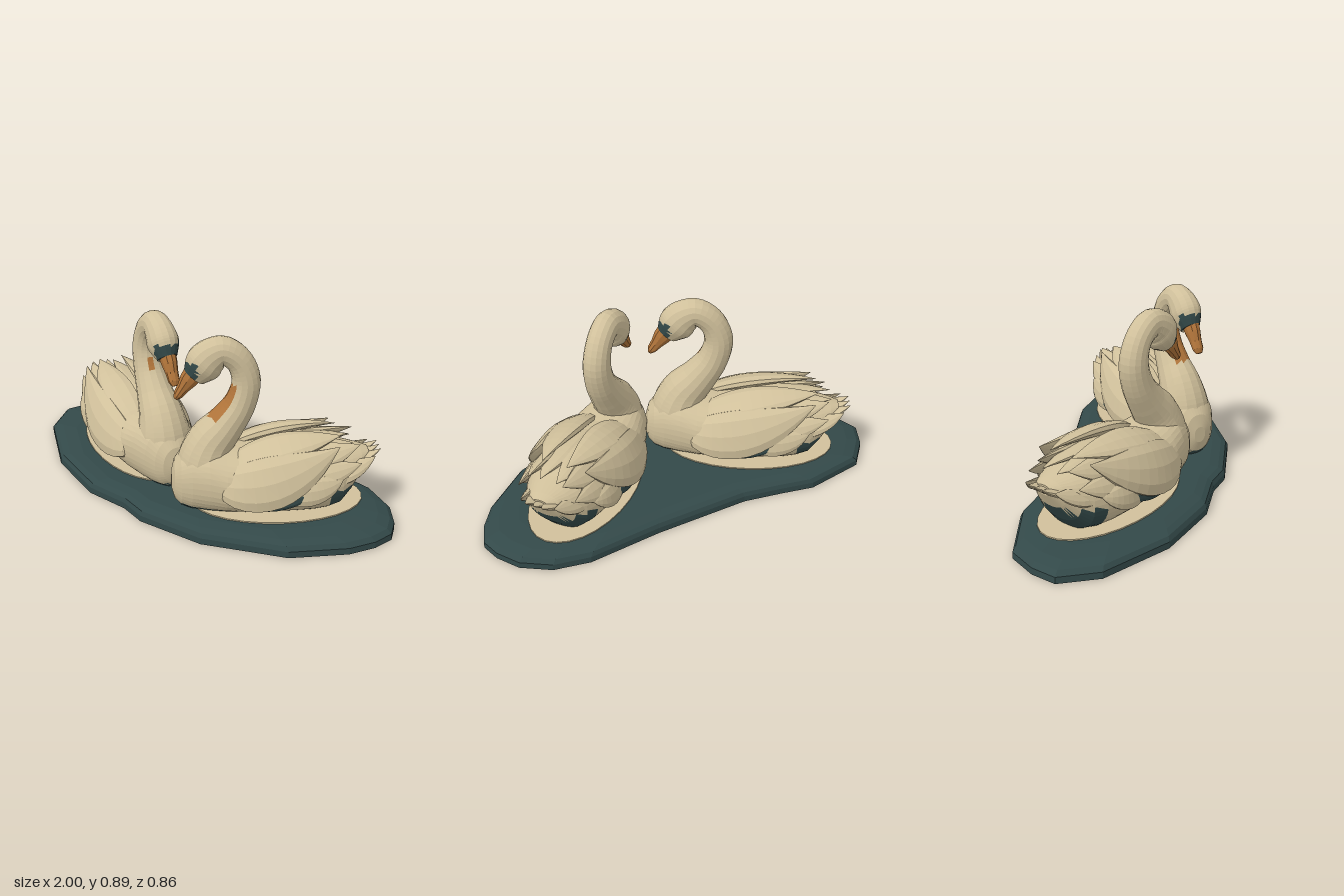
import * as THREE from 'three';

const V = (x, y, z) => new THREE.Vector3(x, y, z);
const mat = (name, color) => {
  const m = new THREE.MeshStandardMaterial({ color, flatShading: true });
  m.name = name;
  return m;
};

// Oval cross-section: a x b points along the direction of travel
function oval(center, a, b, sides, power = 1) {
  const soft = (c) => Math.sign(c) * Math.pow(Math.abs(c), power);
  return Array.from({ length: sides }, (_, j) => {
    const f = (j / sides) * Math.PI * 2;
    return center.clone().addScaledVector(a, soft(Math.cos(f))).addScaledVector(b, soft(Math.sin(f)));
  });
}

// Skin a list of rings, cap both ends; pick(centroid, section, side) chooses a material index
function loft(name, rings, mats, pick = () => 0) {
  const n = rings[0].length, last = rings.length - 1;
  const verts = rings.flat();
  const lists = mats.map(() => []);
  const add = (a, b, c, i, j) => {
    const mid = V(0, 0, 0).add(verts[a]).add(verts[b]).add(verts[c]).divideScalar(3);
    lists[pick(mid, i, j)].push(a, b, c);
  };
  const middle = (r) => r.reduce((s, p) => s.add(p), V(0, 0, 0)).divideScalar(n);
  const c0 = verts.push(middle(rings[0])) - 1;
  const c1 = verts.push(middle(rings[last])) - 1;
  for (let j = 0; j < n; j++) {
    const k = (j + 1) % n;
    for (let i = 0; i < last; i++) {
      const a = i * n + j, b = i * n + k;
      add(a, b, b + n, i, j);
      add(a, b + n, a + n, i, j);
    }
    add(c0, k, j, 0, j);
    add(c1, last * n + j, last * n + k, last, j);
  }
  const g = new THREE.BufferGeometry().setFromPoints(verts);
  g.setIndex(lists.flat());
  let start = 0;
  lists.forEach((l, i) => { g.addGroup(start, l.length, i); start += l.length; });
  g.computeVertexNormals();
  const mesh = new THREE.Mesh(g, mats.length > 1 ? mats : mats[0]);
  mesh.name = name;
  return mesh;
}

// Pointed leaf shape along a bent path, lying across the "up" direction
function feather(name, p, width, thick, up, material, s) {
  const flip = ([x, y, z]) => V(x, y, z * s);
  const curve = new THREE.QuadraticBezierCurve3(...p.map(flip));
  const rings = [];
  for (let i = 0; i <= 12; i++) {
    const t = i / 12;
    const w = t < 0.45 ? Math.sqrt(1 - ((0.45 - t) / 0.45) ** 2) : 1 - ((t - 0.45) / 0.55) ** 1.8;
    const T = curve.getTangent(t);
    const S = T.clone().cross(flip(up)).normalize();
    const N = S.clone().cross(T);
    const k = Math.max(w, 0.02);
    rings.push(oval(curve.getPoint(t), N.multiplyScalar(thick * k), S.multiplyScalar(width * k), 10));
  }
  return loft(name, rings, [material]);
}

// One swan facing +x, breast at the origin; throat gives the stain's heights and sides, reach the wing length
function makeSwan(name, m, throat, reach) {
  const swan = new THREE.Group();
  swan.name = name;

  // Body: position, bottom, top, half width
  const sections = [
    [0.035, 0.15, 0.23, 0.03], [0.02, 0.1, 0.29, 0.07], [-0.01, 0.07, 0.33, 0.1], [-0.06, 0.055, 0.37, 0.13],
    [-0.14, 0.05, 0.385, 0.162], [-0.22, 0.05, 0.37, 0.185], [-0.32, 0.05, 0.36, 0.2], [-0.42, 0.05, 0.37, 0.205],
    [-0.54, 0.05, 0.38, 0.205], [-0.64, 0.05, 0.38, 0.195], [-0.71, 0.055, 0.37, 0.178], [-0.77, 0.07, 0.355, 0.155],
    [-0.82, 0.13, 0.345, 0.125], [-0.87, 0.21, 0.335, 0.085], [-0.91, 0.28, 0.325, 0.04],
  ];
  const body = sections.map(([x, lo, hi, w]) =>
    oval(V(x, (lo + hi) / 2, 0), V(0, (hi - lo) / 2, 0), V(0, 0, -w), 40, 0.9));
  swan.add(loft('body', body, [m.cream, m.teal], (c) => {
    const line = c.x < -0.72 ? 0.195 : c.x < -0.32 || c.x > -0.2 ? 0.098 : 0.075;
    return c.y < line ? 1 : 0;
  }));

  // Neck and head: position, height, radius
  const knots = [
    [-0.125, 0.2, 0.14], [-0.13, 0.3, 0.132], [-0.155, 0.38, 0.112], [-0.225, 0.47, 0.09], [-0.29, 0.57, 0.075],
    [-0.315, 0.68, 0.068], [-0.28, 0.775, 0.063], [-0.205, 0.823, 0.066], [-0.15, 0.797, 0.083],
    [-0.113, 0.756, 0.087], [-0.074, 0.706, 0.056],
  ];
  const path = new THREE.CatmullRomCurve3(knots.map(([x, y]) => V(x, y, 0)));
  const radii = new THREE.CatmullRomCurve3(knots.map(([, , r], i) => V(i, r, 0)));
  const neck = [];
  for (let i = 0; i <= 44; i++) {
    const T = path.getTangent(i / 44);
    const r = radii.getPoint(i / 44).y;
    const side = r * (0.95 - 0.14 * THREE.MathUtils.smoothstep(i, 28, 36));
    neck.push(oval(path.getPoint(i / 44), V(-T.y * r, T.x * r, 0), V(0, 0, side), 16));
  }
  swan.add(loft('neckAndHead', neck, [m.cream, m.teal, m.orange], (c, i, j) => {
    if (i > 34 && c.y < 0.782 && c.y > 0.69 && c.x > -0.085) return 1;
    const inside = j >= throat[2] && j <= throat[3];
    return inside && i < 26 && c.y > throat[0] && c.y < throat[1] ? 2 : 0;
  }));

  // Bill: position, height, depth, half width
  const bill = [
    [-0.078, 0.725, 0.05, 0.04], [-0.052, 0.69, 0.044, 0.036], [-0.025, 0.652, 0.03, 0.029],
    [-0.002, 0.62, 0.023, 0.027], [0.01, 0.602, 0.011, 0.015],
  ].map(([x, y, d, w]) => oval(V(x, y, 0), V(0.85 * d, 0.53 * d, 0), V(0, 0, w), 10));
  swan.add(loft('bill', bill, [m.orange]));

  for (const s of [1, -1]) {
    // Folded wing with its shadow-coloured lower edge
    swan.add(feather('wing', [[-0.17, 0.235, 0.135], [-0.42, 0.215, 0.235], [-0.78 * reach, 0.405, 0.14]], 0.125, 0.048, [0, 0.45, 1], m.cream, s));
    swan.add(feather('wingUnderside', [[-0.25, 0.175, 0.165], [-0.46, 0.13, 0.25], [-0.75, 0.28, 0.18]], 0.038, 0.018, [0, 0.2, 1], m.teal, s));
    // Long flight feathers fanned behind the wing
    const tips = [[-0.76, 0.265, 0.18], [-0.85, 0.32, 0.14], [-0.85, 0.385, 0.085]];
    tips.forEach(([x, y, z], i) => swan.add(feather('flightFeather',
      [[-0.4 - i * 0.02, 0.22 + i * 0.04, 0.155 - i * 0.02], [-0.63, y - 0.06, z + 0.045], [x, y, z]],
      0.075, 0.028, [0, 0.3 + i * 0.35, 1], m.cream, s)));
    // Back feathers
    swan.add(feather('backFeather', [[-0.22, 0.3, 0.09], [-0.45, 0.405, 0.12], [-0.8 * reach, 0.42, 0.06]], 0.09, 0.033, [0, 1, 0.4], m.cream, s));
    swan.add(feather('backFeather', [[-0.34, 0.34, 0.04], [-0.6, 0.375, 0.055], [-0.87 * reach, 0.37, 0.04]], 0.07, 0.025, [0, 1, 0.2], m.cream, s));
    // Outer tail feathers
    swan.add(feather('tailFeather', [[-0.58, 0.24, 0.11], [-0.8, 0.23, 0.12], [-0.93, 0.32, 0.08]], 0.055, 0.024, [-0.4, 1, 0.9], m.cream, s));
  }
  // Middle tail feathers
  for (const k of [-1, 0, 1]) {
    swan.add(feather('tailFeather', [[-0.62, 0.25, k * 0.04], [-0.84, 0.245, k * 0.04], [-0.965, 0.335, k * 0.04]],
      0.055, 0.026, [-0.4, 1, 0], m.cream, 1));
  }

  // Pale patch on the ground
  const patch = new THREE.Mesh(new THREE.CylinderGeometry(1, 1, 0.006, 28), m.cream);
  patch.name = 'groundPatch';
  patch.scale.set(0.42, 1, 0.225);
  patch.position.set(-0.48, 0.076, 0);
  swan.add(patch);
  return swan;
}

export function createModel() {
  const m = {
    cream: mat('cream', 0xd0c09b),
    teal: mat('dark teal', 0x334949),
    orange: mat('bill orange', 0xb0743a),
  };
  const model = new THREE.Group();
  model.name = 'swanPair';

  // Base plate with a sloping rim
  const outline = [
    [-1, -0.16], [-0.95, -0.27], [-0.85, -0.38], [-0.56, -0.43], [-0.4, -0.4], [-0.21, -0.37], [0.25, -0.385],
    [0.6, -0.42], [0.77, -0.39], [0.9, -0.31], [0.97, -0.21], [1, -0.12], [0.97, -0.02], [0.9, 0.09], [0.7, 0.27],
    [0.5, 0.345], [0.33, 0.41], [0, 0.425], [-0.13, 0.385], [-0.35, 0.375], [-0.66, 0.25], [-0.93, 0.02],
  ].reverse();
  const rim = [[0, 1], [0.03, 0.998], [0.05, 0.975], [0.063, 0.92], [0.073, 0.82]];
  model.add(loft('base', rim.map(([y, k]) => outline.map(([x, z]) => V(x * k, y, z * k))), [m.teal]));

  const rightSwan = makeSwan('rightSwan', m, [0.585, 0.645, 7, 7], 1);
  rightSwan.position.set(0.015, 0, 0.175);
  rightSwan.rotation.y = THREE.MathUtils.degToRad(-28);
  const leftSwan = makeSwan('leftSwan', m, [0.51, 0.67, 7, 9], 0.95);
  leftSwan.position.set(0.105, 0, 0.27);
  leftSwan.rotation.y = THREE.MathUtils.degToRad(-140);
  leftSwan.scale.x = 0.95;
  model.add(rightSwan, leftSwan);
  return model;
}
